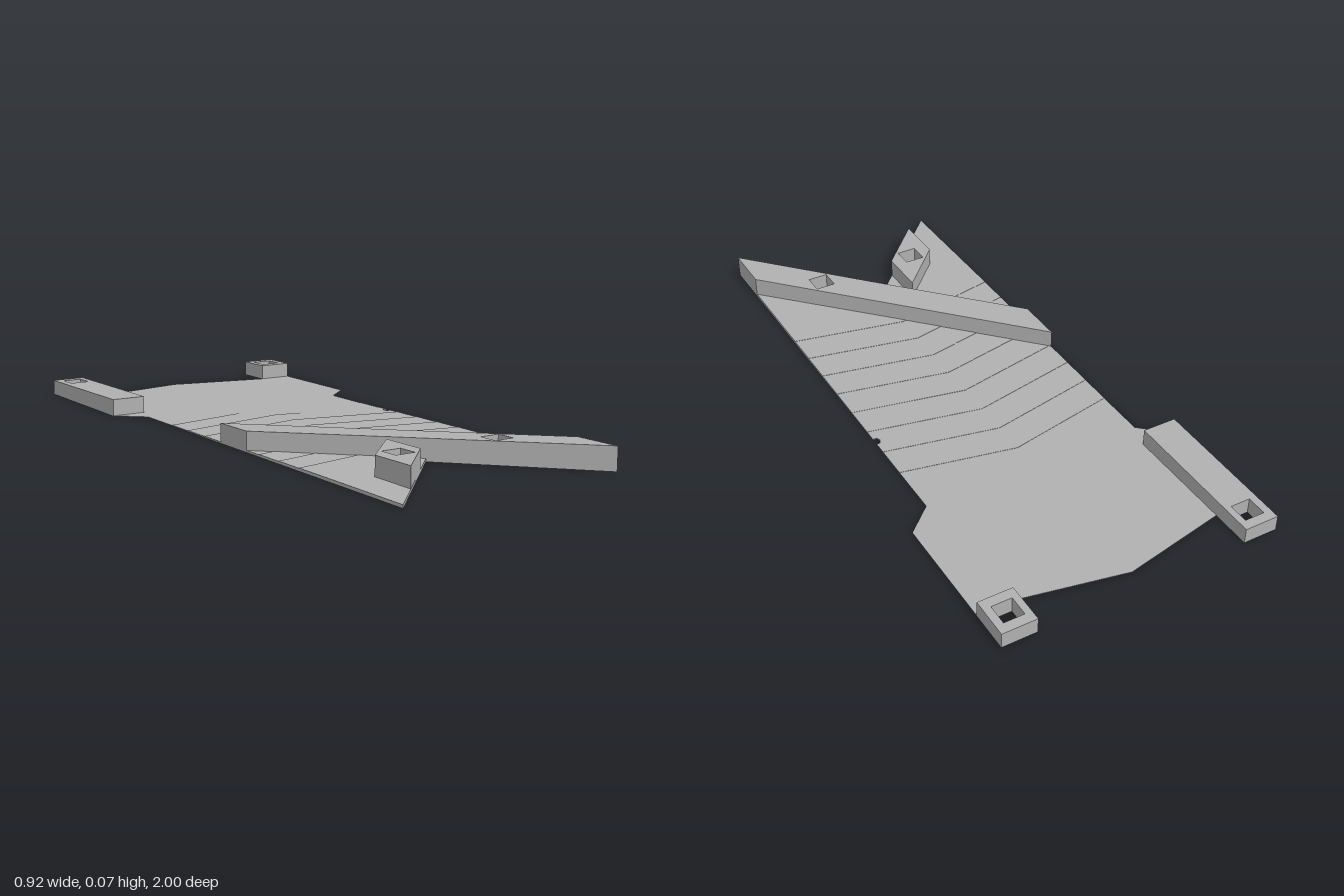
import * as THREE from 'three';

const HALF = 0.37; // half width of the plate
const grey = new THREE.MeshStandardMaterial({ color: 0xb0b0b0 });
grey.name = 'light grey';

// Pad tops rise gently towards the front
const padTop = (z) => 0.0625 + 0.0115 * z;

// Square through-holes, as centre points in x and z
const backRightHole = [0.4, -0.935];
const backLeftHole = [-0.4, -0.935];
const frontHoles = [[-0.177, 0.715], [0.174, 0.715]];

function squareHole([x, z], r = 0.033) {
  return new THREE.Path([[-r, -r], [r, -r], [r, r], [-r, r]]
    .map(([a, b]) => new THREE.Vector2(x + a, -z + b)));
}

// Prism over an outline given in x and z, from y0 up to a height that may depend on z
function prism(name, outline, holes, y0, top) {
  const shape = new THREE.Shape(outline.map(([x, z]) => new THREE.Vector2(x, -z)));
  shape.holes = holes.map((h) => squareHole(h));
  const geo = new THREE.ExtrudeGeometry(shape, { depth: 1, bevelEnabled: false });
  geo.rotateX(-Math.PI / 2);
  const p = geo.attributes.position;
  for (let i = 0; i < p.count; i++) {
    p.setY(i, p.getY(i) > 0.5 ? top(p.getZ(i)) : y0);
  }
  geo.computeVertexNormals();
  const mesh = new THREE.Mesh(geo, grey);
  mesh.name = name;
  return mesh;
}

export function createModel() {
  const group = new THREE.Group();
  group.name = 'steppedPlate';

  // Swallow-tail front edge and the small nick in the +x side
  const tail = [[-HALF, 1], [0, 0.61], [HALF, 1]];
  const nick = [[HALF, -0.072], [0.358, -0.072], [0.352, -0.085], [0.358, -0.098], [HALF, -0.098]];

  // Base sheet with widened back shoulders
  const base = [
    ...tail, ...nick,
    [HALF, -0.42], [0.458, -0.5], [0.458, -1], [0.345, -1], [0.345, -0.87],
    [0, -0.94],
    [-0.345, -0.87], [-0.345, -1], [-0.458, -1], [-0.458, -0.5], [-HALF, -0.42],
  ];
  group.add(prism('baseSheet', base, [backLeftHole, backRightHole, ...frontHoles], 0, () => 0.002));

  // Stacked layers, each starting further forward along a chevron line
  const step = 0.001;
  for (let i = 0; i < 8; i++) {
    const z = -0.25 + i * 0.109;
    const y = 0.002 + i * step;
    const outline = [...tail, ...(z < -0.1 ? nick : []), [HALF, z], [0, z - 0.075], [-HALF, z]];
    group.add(prism('chevronLayer' + (i + 1), outline, frontHoles, y, () => y + step));
  }

  // Raised pads
  const pad = (name, outline, hole) => group.add(prism(name, outline, [hole], 0.001, padTop));
  pad('longBackPad', [[-0.458, -1], [-0.345, -1], [-0.345, -0.5], [-0.458, -0.5]], backLeftHole);
  pad('shortBackPad', [[0.345, -1], [0.458, -1], [0.458, -0.87], [0.345, -0.87]], backRightHole);
  pad('diagonalBar', [[-HALF, 0.07], [HALF, 0.84], [HALF, 1], [0, 0.61], [-HALF, 0.225]], frontHoles[1]);
  pad('smallFrontPad', [[-0.1, 0.555], [-0.1, 0.715], [-0.255, 0.878], [-0.255, 0.715]], frontHoles[0]);

  return group;
}
